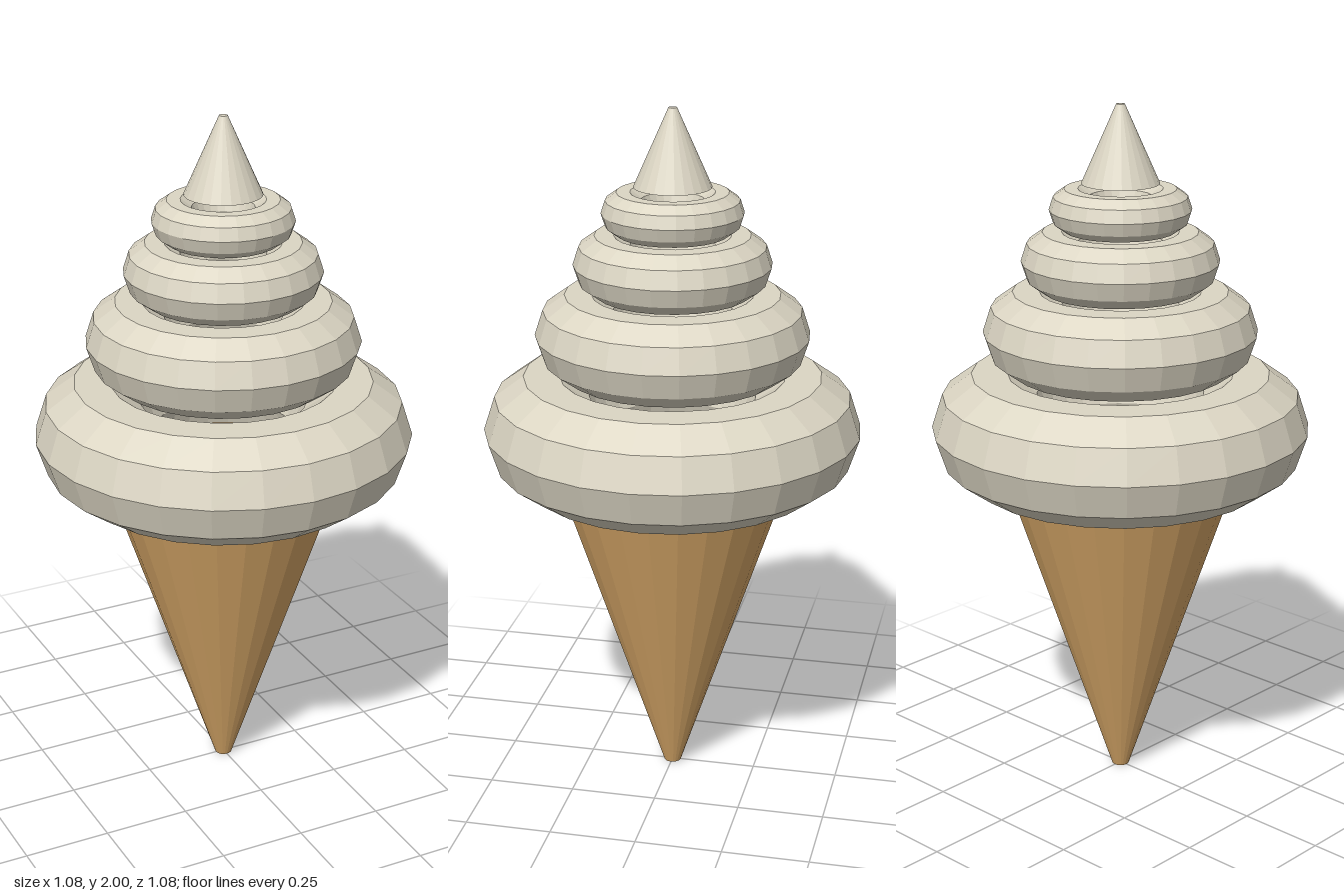
import * as THREE from 'three';

const SIDES = 24;

export function createModel() {
  const model = new THREE.Group();
  model.name = 'iceCreamCone';

  const cream = new THREE.MeshStandardMaterial({ color: 0xdcd6c4 });
  cream.name = 'cream';
  cream.flatShading = true;
  const wafer = new THREE.MeshStandardMaterial({ color: 0xd8a868 });
  wafer.name = 'wafer';
  wafer.flatShading = true;

  const add = (name, geometry, material, y) => {
    const mesh = new THREE.Mesh(geometry, material);
    mesh.name = name;
    mesh.position.y = y;
    model.add(mesh);
  };

  // Tapered wafer cone, its rim hidden inside the lowest ring
  add('waferCone', new THREE.CylinderGeometry(0.36, 0.025, 1, SIDES), wafer, 0.5);

  // Stacked soft-serve rings: outer radius, tube radius, centre height
  const rings = [
    [0.541, 0.167, 1.077],
    [0.39, 0.123, 1.358],
    [0.28, 0.088, 1.561],
    [0.2, 0.062, 1.707],
  ];
  rings.forEach(([outer, tube, y], i) => {
    const ring = new THREE.TorusGeometry(outer - tube, tube, 10, SIDES);
    ring.rotateX(Math.PI / 2);
    add(`creamRing${i + 1}`, ring, cream, y);
  });

  // Pointed tip
  add('creamTip', new THREE.CylinderGeometry(0.012, 0.11, 0.22, SIDES), cream, 1.89);

  return model;
}
